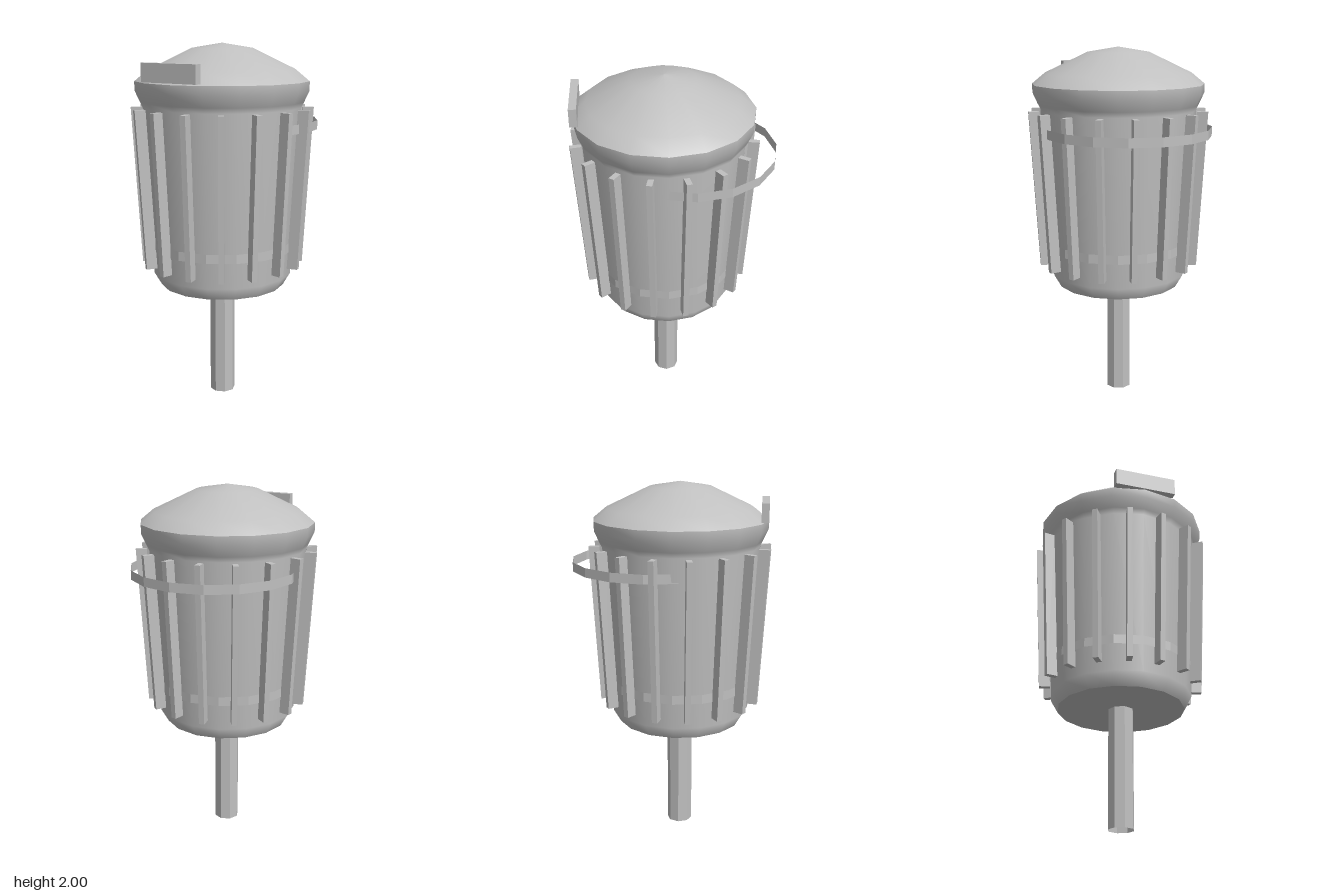
import * as THREE from 'three';

const SIDES = 16;

export function createModel() {
  const model = new THREE.Group();
  const grey = new THREE.MeshStandardMaterial({ color: 0xc0c0c0 });
  grey.name = 'grey';
  const openGrey = new THREE.MeshStandardMaterial({ color: 0xc0c0c0, side: THREE.DoubleSide, flatShading: true });
  openGrey.name = 'grey, both sides';

  const add = (name, geometry, material, x, y, z, parent = model) => {
    const mesh = new THREE.Mesh(geometry, material);
    mesh.name = name;
    mesh.position.set(x, y, z);
    parent.add(mesh);
    return mesh;
  };
  const lathe = (points) =>
    new THREE.LatheGeometry(points.map(([r, y]) => new THREE.Vector2(r, y)), SIDES);

  // Bin, lid and post share an axis slightly in front of the origin
  const axisZ = 0.05;

  // Tapered body with a flared rim, and its flat floor
  add('body', lathe([
    [0.35, 0.66], [0.39, 0.73], [0.435, 1.66], [0.45, 1.69], [0.477, 1.75], [0.478, 1.8],
  ]), grey, 0, 0, axisZ);
  const floor = add('bodyFloor', new THREE.CircleGeometry(0.35, SIDES), grey, 0, 0.66, axisZ);
  floor.rotation.x = Math.PI / 2;

  // Domed lid
  add('lid', lathe([[0.478, 1.8], [0.405, 1.86], [0.17, 1.972], [0, 2]]), grey, 0, 0, axisZ);

  // Octagonal hollow post
  add('post', new THREE.CylinderGeometry(0.071, 0.071, 0.66, 8, 1, true), openGrey, 0, 0.33, axisZ);

  // Upright slats, leaning outwards with the body
  const slatHeight = 0.875, slatDepth = 0.06;
  const slatGeometry = new THREE.BoxGeometry(0.03, slatHeight, slatDepth);
  const p = slatGeometry.attributes.position;
  for (let i = 0; i < p.count; i++) {
    const outer = p.getY(i) > 0 ? 0.501 : 0.453;
    p.setZ(i, p.getZ(i) + outer - slatDepth / 2);
  }
  slatGeometry.computeVertexNormals();
  const slats = new THREE.Group();
  slats.name = 'slats';
  slats.position.z = axisZ;
  model.add(slats);
  for (let i = 0; i < SIDES; i++) {
    const slat = add('slat', slatGeometry, grey, 0, 0.78 + slatHeight / 2, 0, slats);
    slat.rotation.y = ((i + 0.5) * 2 * Math.PI) / SIDES;
  }

  // Thin bands: one around the foot of the slats, one standing out at the back
  add('lowerBand', new THREE.CylinderGeometry(0.409, 0.409, 0.05, SIDES, 1, true), openGrey, 0, 0.9, axisZ);
  add('rearHoop', new THREE.CylinderGeometry(0.457, 0.457, 0.05, SIDES, 1, true), openGrey, 0, 1.555, -0.091);

  // Small plate at the front edge of the lid
  add('frontPlate', new THREE.BoxGeometry(0.346, 0.098, 0.04), grey, 0, 1.857, 0.508);

  return model;
}
